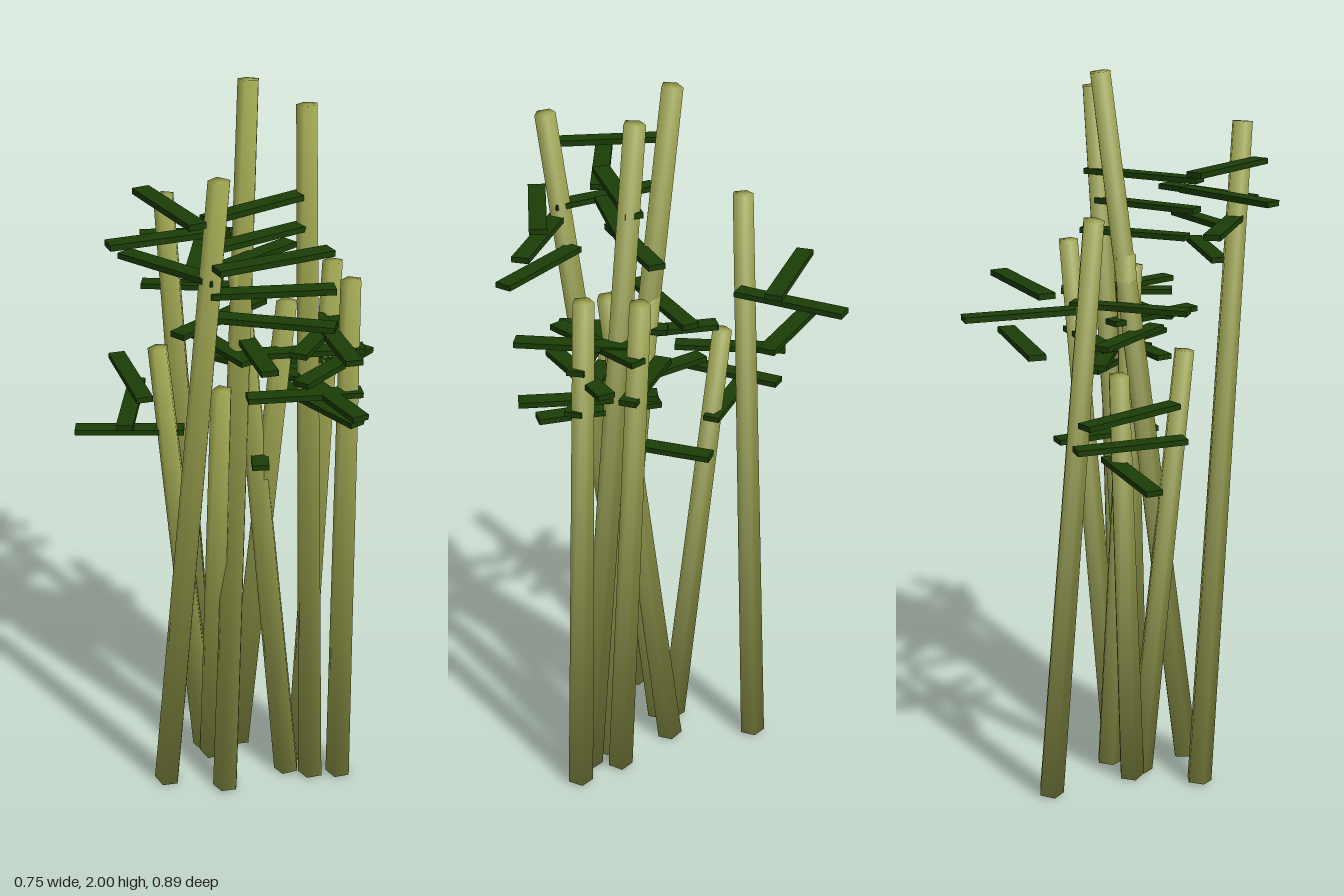
import * as THREE from 'three';
import { mergeVertices } from 'three/addons/utils/BufferGeometryUtils.js';

const stalkMat = new THREE.MeshStandardMaterial({ color: 0x9ca34e });
stalkMat.name = 'stalkGreen';
const leafMat = new THREE.MeshStandardMaterial({ color: 0x1b3d06 });
leafMat.name = 'leafGreen';

// Stalks: base x, base z, top x, top y, top z
const STALKS = [
  [0.01, -0.225, -0.11, 1.66, -0.158],
  [-0.05, 0.02, -0.145, 1.25, -0.105],
  [-0.045, 0.228, 0.073, 2.0, 0.005],
  [0.21, 0.232, 0.203, 1.947, 0.08],
  [0.203, 0.145, 0.29, 1.517, 0.06],
  [0.288, 0.248, 0.292, 1.517, 0.2],
  [0.148, 0.195, 0.033, 1.517, 0.06],
  [0.052, 0.018, 0.133, 1.46, 0.165],
  [-0.04, 0.06, -0.05, 1.248, 0.2],
  [-0.198, 0.15, -0.097, 1.862, 0.353],
];

// Leaves: height, then start x, z and end x, z, grouped by cluster
const LEAF_CLUSTERS = [
  [ // back
    [1.41, 0.067, -0.44, -0.04, -0.155],
    [1.335, -0.132, -0.352, 0.157, -0.245],
    [1.49, -0.14, -0.325, 0.165, -0.26],
  ],
  [ // back right
    [1.16, -0.225, -0.278, -0.215, 0.03],
    [1.08, -0.17, -0.265, -0.27, 0.02],
    [1.0, -0.37, -0.165, -0.08, -0.085],
  ],
  [ // front right
    [1.76, -0.225, 0.075, -0.155, 0.37],
    [1.605, -0.275, 0.095, -0.1, 0.34],
    [1.685, -0.345, 0.24, -0.04, 0.207],
  ],
  [ // front
    [1.65, -0.115, 0.385, 0.19, 0.325],
    [1.57, -0.115, 0.33, 0.187, 0.375],
    [1.49, -0.095, 0.285, 0.175, 0.425],
  ],
  [ // upper middle
    [1.715, -0.095, 0.21, 0.22, 0.08],
    [1.635, -0.09, 0.205, 0.2, 0.1],
    [1.565, -0.08, 0.18, 0.18, 0.03],
  ],
  [ // lower middle
    [1.3, -0.065, -0.1, 0.03, 0.17],
    [1.0, 0.125, -0.105, 0.06, 0.19],
    [1.23, -0.01, -0.065, 0.18, 0.14],
    [1.33, 0.045, 0.02, 0.045, 0.31],
    [1.38, -0.15, 0.13, 0.125, -0.05],
  ],
  [ // left
    [1.37, 0.24, 0.075, 0.24, 0.387],
    [1.21, 0.185, 0.03, 0.265, 0.38],
    [1.365, 0.12, 0.3, 0.32, 0.06],
    [1.29, 0.362, 0.135, 0.125, 0.31],
    [1.33, 0.03, 0.18, 0.325, 0.22],
    [1.25, 0.06, 0.03, 0.32, 0.09],
    [1.17, 0.145, 0.03, 0.275, 0.33],
    [1.21, 0.02, 0.19, 0.32, 0.23],
  ],
];

// Five-sided tapered cane, its normals rounded over both ends
function stalk([bx, bz, tx, ty, tz]) {
  const base = new THREE.Vector3(bx, 0.004, bz);
  const axis = new THREE.Vector3(tx, ty - 0.003, tz).sub(base);
  const len = axis.length();
  let geo = new THREE.CylinderGeometry(0.029, 0.037, len, 5);
  geo.deleteAttribute('normal');
  geo.deleteAttribute('uv');
  geo = mergeVertices(geo);
  const pos = geo.attributes.position;
  const normals = [];
  const n = new THREE.Vector3();
  for (let i = 0; i < pos.count; i++) {
    n.set(pos.getX(i), 0, pos.getZ(i)).normalize();
    n.y = Math.sign(pos.getY(i)) * 0.7;
    normals.push(...n.normalize().toArray());
  }
  geo.setAttribute('normal', new THREE.Float32BufferAttribute(normals, 3));
  geo.translate(0, len / 2, 0);
  const mesh = new THREE.Mesh(geo, stalkMat);
  mesh.position.copy(base);
  mesh.rotation.y = Math.PI;
  mesh.quaternion.premultiply(
    new THREE.Quaternion().setFromUnitVectors(new THREE.Vector3(0, 1, 0), axis.normalize()));
  mesh.name = 'stalk';
  return mesh;
}

// Flat strip leaf lying level between two points
function leaf([y, x0, z0, x1, z1]) {
  const geo = new THREE.BoxGeometry(Math.hypot(x1 - x0, z1 - z0), 0.015, 0.046);
  const mesh = new THREE.Mesh(geo, leafMat);
  mesh.position.set((x0 + x1) / 2, y, (z0 + z1) / 2);
  mesh.rotation.y = -Math.atan2(z1 - z0, x1 - x0);
  mesh.name = 'leaf';
  return mesh;
}

export function createModel() {
  const model = new THREE.Group();
  model.name = 'bambooClump';
  const stalks = new THREE.Group();
  stalks.name = 'stalks';
  for (const s of STALKS) stalks.add(stalk(s));
  model.add(stalks);
  for (const cluster of LEAF_CLUSTERS) {
    const group = new THREE.Group();
    group.name = 'leafCluster';
    for (const l of cluster) group.add(leaf(l));
    model.add(group);
  }
  return model;
}
